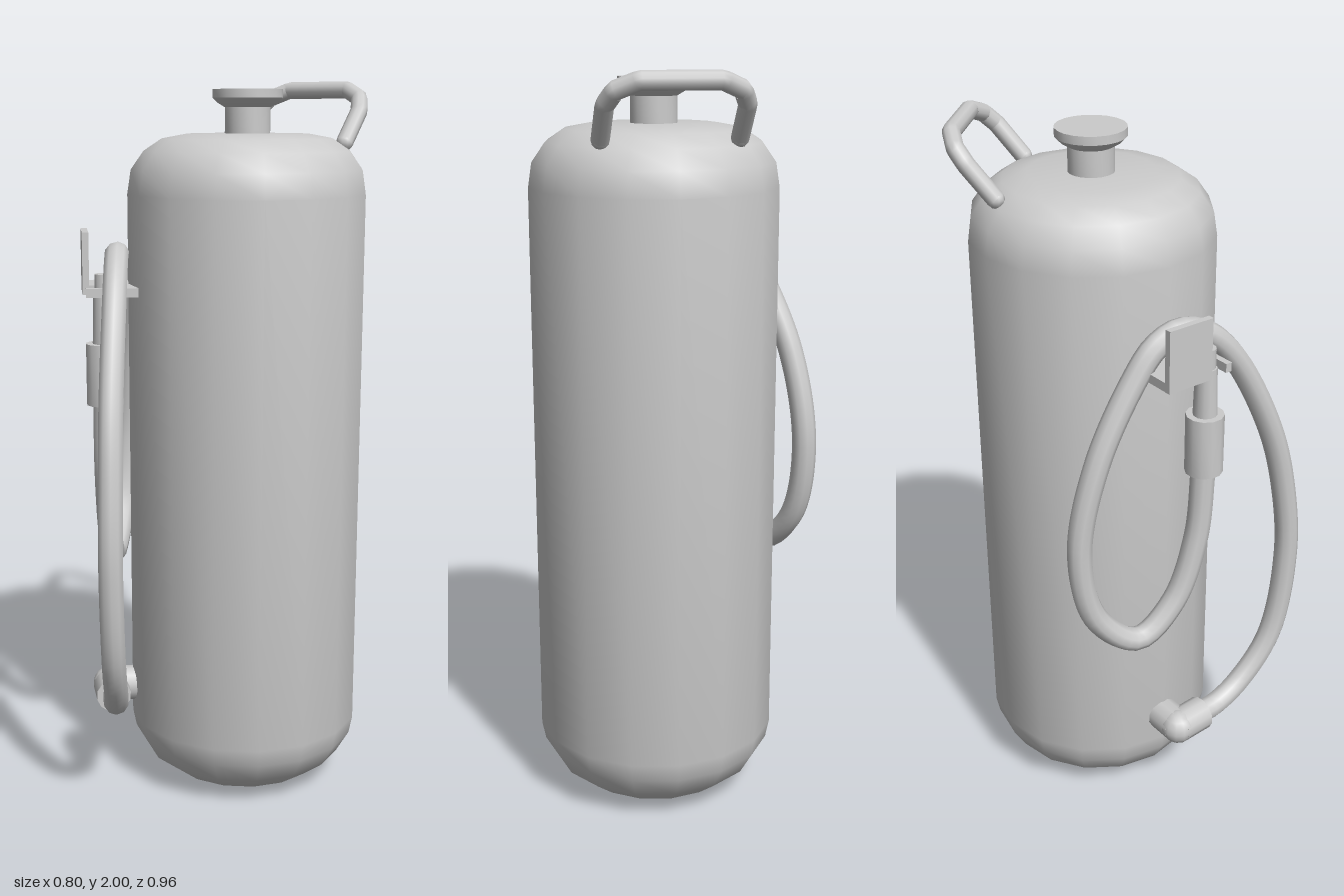
import * as THREE from 'three';
import { toCreasedNormals } from 'three/addons/utils/BufferGeometryUtils.js';

const AXIS = [0.07, -0.12]; // x, z of the cylinder axis
const material = new THREE.MeshStandardMaterial({ color: 0xcccccc });
const v2 = (p) => new THREE.Vector2(...p);
const v3 = (p) => new THREE.Vector3(...p);

function part(name, geometry, parent, position = [0, 0, 0]) {
  const mesh = new THREE.Mesh(geometry, material);
  mesh.name = name;
  mesh.position.set(...position);
  parent.add(mesh);
  return mesh;
}

const lathe = (profile, sides, crease = 0.75) =>
  toCreasedNormals(new THREE.LatheGeometry(profile.map(v2), sides), crease);

// Round bar between two points
function rod(name, a, b, radius, parent) {
  const from = v3(a), to = v3(b);
  const dir = to.clone().sub(from);
  const geo = new THREE.CylinderGeometry(radius, radius, dir.length(), 12);
  const mesh = part(name, geo, parent, from.clone().add(to).multiplyScalar(0.5).toArray());
  mesh.quaternion.setFromUnitVectors(new THREE.Vector3(0, 1, 0), dir.normalize());
}

export function createModel() {
  const model = new THREE.Group();
  model.name = 'extinguisher';

  // Pressure cylinder with rounded shoulders
  part('cylinderBody', lathe([
    [0, 0.005], [0.14, 0.005], [0.22, 0.03], [0.285, 0.08], [0.32, 0.14], [0.33, 0.19],
    [0.33, 1.7], [0.32, 1.765], [0.285, 1.815], [0.235, 1.848], [0.17, 1.86], [0, 1.862],
  ], 16), model, [AXIS[0], 0, AXIS[1]]);

  // Neck and filler cap
  part('fillerCap', lathe([
    [0.062, 1.84], [0.062, 1.93], [0.082, 1.942], [0.095, 1.955], [0.095, 1.978], [0, 1.978],
  ], 20, 0.5), model, [AXIS[0], 0, AXIS[1]]);

  // Carrying handle, mirrored about the cylinder axis and leaning back
  const half = [[0.175, 1.835, -0.335], [0.175, 1.92, -0.405], [0.155, 1.955, -0.436], [0.1, 1.978, -0.458]];
  const handlePoints = [
    ...half.map(([x, y, z]) => [AXIS[0] - x, y, z]),
    ...half.slice().reverse().map(([x, y, z]) => [AXIS[0] + x, y, z]),
  ].map(v3);
  const handlePath = new THREE.CurvePath();
  for (let i = 1; i < handlePoints.length; i++) {
    handlePath.add(new THREE.LineCurve3(handlePoints[i - 1], handlePoints[i]));
  }
  part('carryHandle', new THREE.TubeGeometry(handlePath, 60, 0.024, 10), model);
  for (const p of [handlePoints[0], handlePoints[7]]) {
    part('handleFoot', new THREE.SphereGeometry(0.024, 10, 6), model, p.toArray());
  }

  // Hose: outlet, big loop, over the bracket, small loop, up to the nozzle
  const hose = new THREE.CatmullRomCurve3([
    [-0.15, 0.275, 0.21], [-0.1, 0.28, 0.26], [-0.035, 0.325, 0.325], [0.03, 0.46, 0.405],
    [0.055, 0.74, 0.44], [0.04, 0.98, 0.42], [0.005, 1.18, 0.375], [-0.07, 1.42, 0.275],
    [-0.13, 1.515, 0.2], [-0.18, 1.538, 0.14], [-0.225, 1.51, 0.085], [-0.265, 1.43, 0.035],
    [-0.335, 1.22, -0.05], [-0.366, 0.96, -0.095], [-0.345, 0.74, -0.055], [-0.285, 0.642, 0.05],
    [-0.22, 0.73, 0.14], [-0.18, 0.92, 0.195], [-0.167, 1.15, 0.21],
  ].map(v3));
  part('hose', new THREE.TubeGeometry(hose, 120, 0.034, 10), model);

  // Outlet elbow at the foot of the cylinder
  rod('outletPipe', [-0.12, 0.275, 0.07], [-0.21, 0.275, 0.16], 0.05, model);
  part('outletElbow', new THREE.SphereGeometry(0.051, 12, 8), model, [-0.21, 0.275, 0.16]);
  rod('outletCollar', [-0.21, 0.275, 0.16], [-0.14, 0.275, 0.222], 0.05, model);

  // Discharge nozzle with its grip collar
  part('nozzle', lathe([
    [0, 1.13], [0.052, 1.13], [0.052, 1.3], [0.033, 1.3], [0.029, 1.435],
    [0.025, 1.435], [0.025, 1.49], [0, 1.49],
  ], 12, 0.6), model, [-0.167, 0, 0.21]);

  // Bracket: forked shelf reaching out from the cylinder, with an upright plate
  const bracket = new THREE.Group();
  bracket.name = 'nozzleBracket';
  bracket.position.set(AXIS[0], 0, AXIS[1]);
  bracket.rotation.y = -Math.PI / 4;
  model.add(bracket);
  const shelf = new THREE.Shape([
    [-0.1, -0.3], [-0.1, -0.45], [0.037, -0.45], [0.037, -0.385],
    [0.09, -0.385], [0.09, -0.45], [0.108, -0.45], [0.108, -0.3],
  ].map(v2));
  const shelfGeo = new THREE.ExtrudeGeometry(shelf, { depth: 0.025, bevelEnabled: false });
  shelfGeo.rotateX(-Math.PI / 2);
  part('bracketShelf', shelfGeo, bracket, [0, 1.43, 0]);
  part('bracketPlate', new THREE.BoxGeometry(0.137, 0.17, 0.018), bracket, [-0.032, 1.515, 0.448]);

  return model;
}
